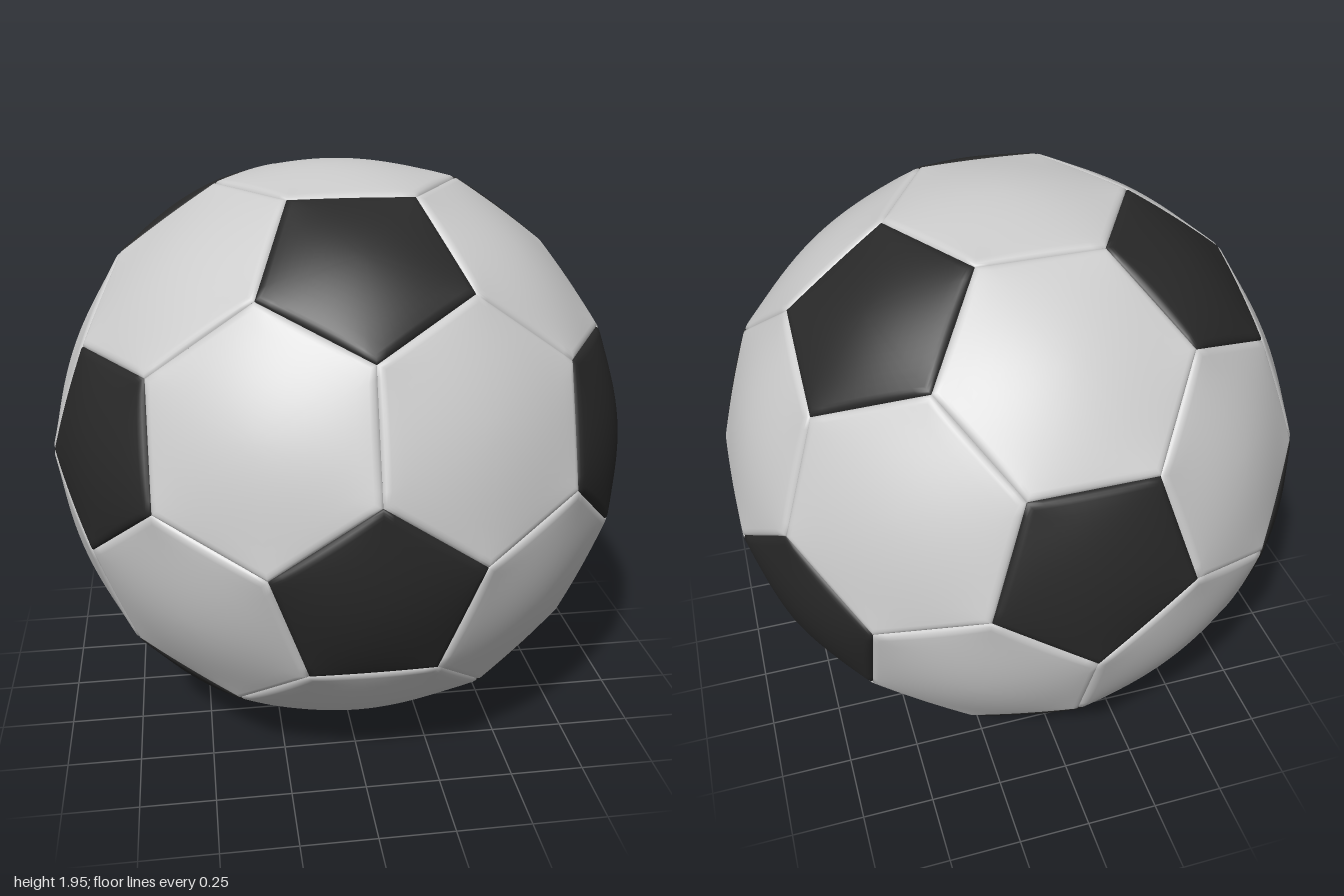
import * as THREE from 'three';

const EDGE = 0.4015;        // seam length between two panel corners
const BEVEL_W = 0.022, BEVEL_H = 0.012;
const HEIGHT = 0.977;       // centre of the ball above the floor
const PER_SIDE = 10, INNER = 9, BEVEL_STEPS = 4;

// Padded panel: a regular polygon facing +y at distance `dist`, first corner on +z
function panelGeometry(sides, dist, bulge) {
  const R = EDGE / (2 * Math.sin(Math.PI / sides));
  const apothem = R * Math.cos(Math.PI / sides);
  const corner = k => {
    const a = (k / sides) * Math.PI * 2;
    return new THREE.Vector2(Math.sin(a) * R, Math.cos(a) * R);
  };
  // smooth dome that is zero along every side
  const dome = p => {
    let f = 1;
    for (let i = 0; i < sides; i++) {
      const a = ((i + 0.5) / sides) * Math.PI * 2;
      f *= Math.max(0, 1 - (p.x * Math.sin(a) + p.y * Math.cos(a)) / apothem);
    }
    return bulge * Math.pow(f, 0.75);
  };
  // ring insets from the seam: rounded bevel first, then the dome
  const rings = [];
  for (let i = 0; i <= BEVEL_STEPS; i++) {
    const a = (i / BEVEL_STEPS) * Math.PI / 2;
    rings.push([BEVEL_W * (1 - Math.cos(a)), BEVEL_H * Math.sin(a)]);
  }
  for (let i = 1; i < INNER; i++) {
    rings.push([BEVEL_W + (apothem - BEVEL_W) * i / INNER, BEVEL_H]);
  }
  const pos = [], index = [], n = sides * PER_SIDE;
  for (const [inset, lift] of rings) {
    for (let j = 0; j < n; j++) {
      const k = Math.floor(j / PER_SIDE);
      const p = corner(k).lerp(corner(k + 1), (j % PER_SIDE) / PER_SIDE)
        .multiplyScalar(1 - inset / apothem);
      pos.push(p.x, dist + lift + dome(p), p.y);
    }
  }
  pos.push(0, dist + BEVEL_H + bulge, 0);
  for (let r = 0; r < rings.length; r++) {
    for (let j = 0; j < n; j++) {
      const a = r * n + j, b = r * n + (j + 1) % n;
      if (r === rings.length - 1) index.push(a, b, rings.length * n);
      else index.push(a, b, a + n, b, b + n, a + n);
    }
  }
  const g = new THREE.BufferGeometry();
  g.setAttribute('position', new THREE.Float32BufferAttribute(pos, 3));
  g.setIndex(index);
  g.computeVertexNormals();
  return g;
}

// Mesh turned so its +y follows `normal` and its first corner points to `target`
function placePanel(geometry, material, normal, target, name) {
  const y = normal.clone().normalize();
  const z = target.clone().addScaledVector(y, -target.dot(y)).normalize();
  const x = new THREE.Vector3().crossVectors(y, z);
  const mesh = new THREE.Mesh(geometry, material);
  mesh.quaternion.setFromRotationMatrix(new THREE.Matrix4().makeBasis(x, y, z));
  mesh.name = name;
  return mesh;
}

export function createModel() {
  const ball = new THREE.Group();
  ball.name = 'ball';
  const light = new THREE.MeshStandardMaterial({ color: 0xcccccc });
  const dark = new THREE.MeshStandardMaterial({ color: 0x282828 });

  // Twelve icosahedron directions in four rings, a face pointing straight up
  const dirs = [];
  [[37.377, 0], [79.188, 60], [100.812, 0], [142.623, 60]].forEach(([polar, turn]) => {
    for (let i = 0; i < 3; i++) {
      dirs.push(new THREE.Vector3().setFromSphericalCoords(1,
        THREE.MathUtils.degToRad(polar), THREE.MathUtils.degToRad(turn + i * 120)));
    }
  });
  const near = (a, b) => a !== b && a.dot(b) > 0.4;

  // Dark five-sided panels
  const pentagon = panelGeometry(5, EDGE * 2.3274, 0.051);
  const darkPanels = new THREE.Group();
  darkPanels.name = 'darkPanels';
  dirs.forEach((d, i) => {
    const neighbour = dirs.find(e => near(d, e));
    darkPanels.add(placePanel(pentagon, dark, d, neighbour, `darkPanel${i + 1}`));
  });

  // Light six-sided panels, one for each trio of neighbouring dark panels
  const hexagon = panelGeometry(6, EDGE * 2.2673, 0.055);
  const lightPanels = new THREE.Group();
  lightPanels.name = 'lightPanels';
  for (let i = 0; i < 12; i++) for (let j = i + 1; j < 12; j++) for (let k = j + 1; k < 12; k++) {
    const [a, b, c] = [dirs[i], dirs[j], dirs[k]];
    if (!near(a, b) || !near(b, c) || !near(a, c)) continue;
    const centre = a.clone().add(b).add(c);
    const corner = a.clone().multiplyScalar(2).add(b);
    lightPanels.add(placePanel(hexagon, light, centre, corner,
      `lightPanel${lightPanels.children.length + 1}`));
  }

  ball.add(darkPanels, lightPanels);
  ball.position.y = HEIGHT;
  const model = new THREE.Group();
  model.add(ball);
  return model;
}
